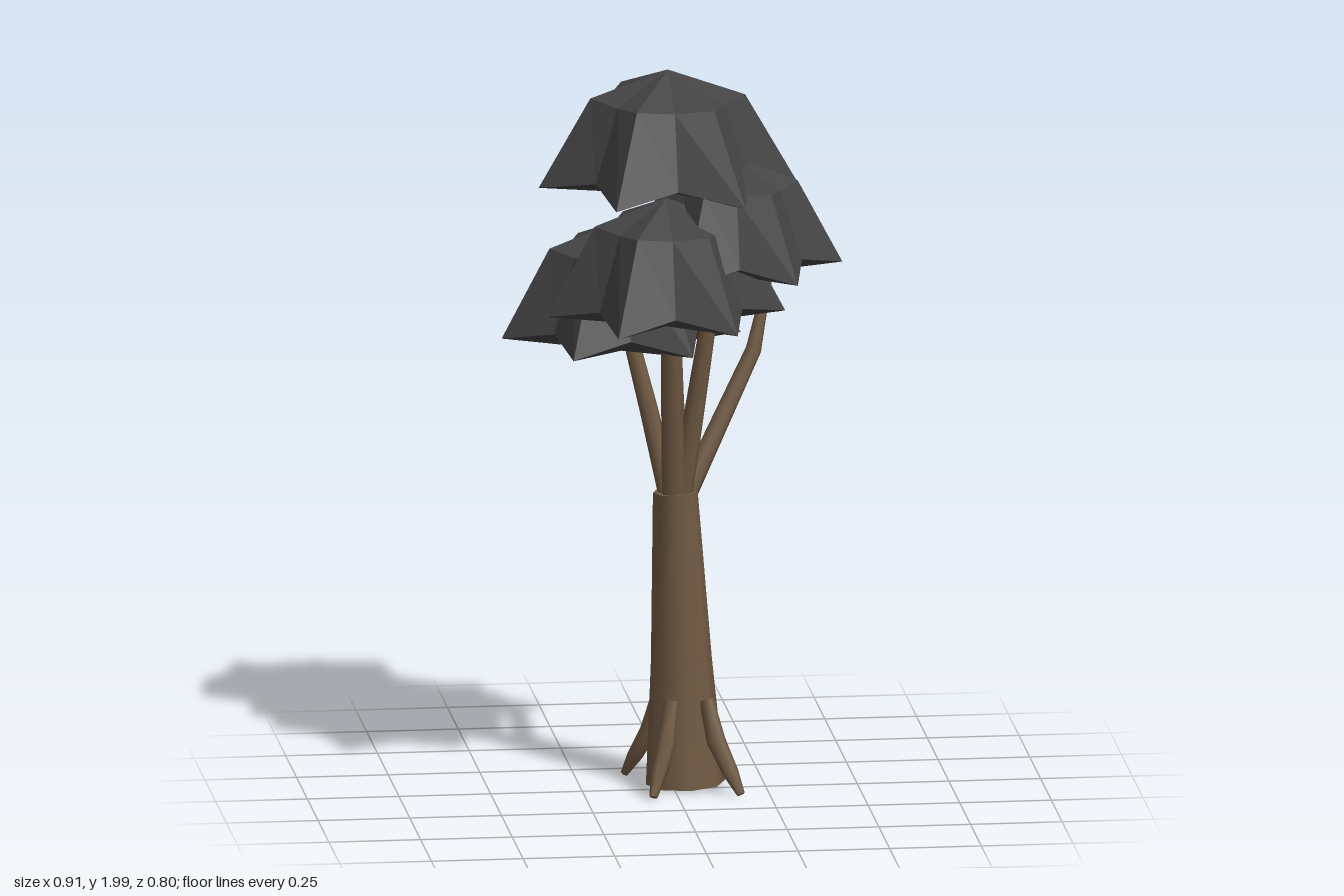
import * as THREE from 'three';

const bark = new THREE.MeshStandardMaterial({ color: 0x705a43 });
bark.name = 'bark brown';
const leaf = new THREE.MeshStandardMaterial({ color: 0x444444 });
leaf.name = 'leaf charcoal';

// Six-pointed star dome: apex, shoulder ring, drooping rim, shallow pointed underside
function clumpGeometry(r, top, rim, bottom) {
  const ring = (radius, y, valley, dy) => Array.from({ length: 12 }, (_, i) => {
    const a = (i * Math.PI) / 6;
    const k = i % 2 ? radius * valley : radius;
    return [k * Math.cos(a), y + (i % 2 ? dy : 0), k * Math.sin(a)];
  });
  const shoulder = ring(r * 0.6, top - 0.075, 0.8, -0.01);
  const edge = ring(r, rim, 0.69, 0.035);
  const apex = [0, top, 0];
  const base = [0, bottom, 0];
  const pos = [];
  for (let i = 0; i < 12; i++) {
    const j = (i + 1) % 12;
    pos.push(...apex, ...shoulder[j], ...shoulder[i]);
    pos.push(...shoulder[i], ...shoulder[j], ...edge[i]);
    pos.push(...shoulder[j], ...edge[j], ...edge[i]);
    pos.push(...base, ...edge[i], ...edge[j]);
  }
  const g = new THREE.BufferGeometry();
  g.setAttribute('position', new THREE.Float32BufferAttribute(pos, 3));
  g.computeVertexNormals();
  return g;
}

// Tapered limb through a list of [x, y, z, radius] stations, closed at both ends
function limbGeometry(stations, sides) {
  const pts = stations.map(s => new THREE.Vector3(s[0], s[1], s[2]));
  const pos = [], index = [];
  const up = new THREE.Vector3(0, 1, 0);
  stations.forEach((s, n) => {
    const dir = pts[Math.min(n + 1, pts.length - 1)].clone().sub(pts[Math.max(n - 1, 0)]).normalize();
    const q = new THREE.Quaternion().setFromUnitVectors(up, dir.y < 0 ? dir.negate() : dir);
    for (let i = 0; i < sides; i++) {
      const a = (i / sides) * Math.PI * 2;
      const v = new THREE.Vector3(Math.cos(a) * s[3], 0, Math.sin(a) * s[3]).applyQuaternion(q).add(pts[n]);
      pos.push(v.x, v.y, v.z);
    }
  });
  for (let n = 0; n < stations.length - 1; n++) {
    for (let i = 0; i < sides; i++) {
      const a = n * sides + i, b = n * sides + (i + 1) % sides;
      index.push(a, a + sides, b, b, a + sides, b + sides);
    }
  }
  // separate cap vertices keep the ends crisp
  [0, stations.length - 1].forEach((n, end) => {
    const start = pos.length / 3;
    pos.push(...pos.slice(n * sides * 3, (n + 1) * sides * 3));
    for (let i = 1; i < sides - 1; i++) {
      if (end) index.push(start, start + i + 1, start + i);
      else index.push(start, start + i, start + i + 1);
    }
  });
  const g = new THREE.BufferGeometry();
  g.setAttribute('position', new THREE.Float32BufferAttribute(pos, 3));
  g.setIndex(index);
  g.computeVertexNormals();
  return g;
}

export function createModel() {
  const tree = new THREE.Group();
  tree.name = 'tree';
  const add = (name, geometry, material) => {
    const m = new THREE.Mesh(geometry, material);
    m.name = name;
    tree.add(m);
    return m;
  };

  // Trunk, leaning slightly
  add('trunk', limbGeometry([
    [0.037, 0.015, -0.048, 0.108], [0.026, 0.36, -0.05, 0.083], [0.01, 0.825, -0.055, 0.061],
  ], 8), bark);

  // Four splayed roots, listed from tip up to the trunk
  [[0.17, 0.11], [-0.07, 0.115], [-0.115, -0.17], [0.17, -0.18]].forEach(([x, z], i) => {
    const at = (t, y, r) => [0.03 + (x - 0.03) * t, y, -0.04 + (z + 0.04) * t, r];
    add('root' + (i + 1), limbGeometry([
      at(1, 0.015, 0.011), at(0.82, 0.07, 0.022), at(0.57, 0.15, 0.026), at(0.4, 0.26, 0.02),
    ], 6), bark);
  });

  // Branches fanning from the trunk top
  const branches = {
    leftOuterBranch: [[0.025, 0.78, -0.06, 0.03], [0.235, 1.19, -0.155, 0.022], [0.28, 1.38, -0.195, 0.011]],
    leftInnerBranch: [[0.02, 0.78, -0.05, 0.032], [0.07, 1.15, -0.005, 0.026], [0.12, 1.5, 0.025, 0.018]],
    frontBranch: [[0.005, 0.78, -0.045, 0.034], [-0.01, 1.1, 0.03, 0.03], [-0.025, 1.4, 0.09, 0.022]],
    rightBranch: [[0, 0.78, -0.06, 0.03], [-0.06, 1.05, -0.085, 0.026], [-0.12, 1.3, -0.115, 0.021]],
    middleBranch: [[0.015, 0.78, -0.06, 0.034], [0.005, 1.1, -0.065, 0.029], [-0.005, 1.68, -0.065, 0.018]],
  };
  for (const [name, stations] of Object.entries(branches)) add(name, limbGeometry(stations, 7), bark);

  // Foliage clumps: x, z, radius, top, rim, underside point
  const clumps = {
    topFoliage: [-0.01, -0.06, 0.352, 2.0, 1.68, 1.652],
    leftFoliage: [0.15, 0.038, 0.305, 1.78, 1.475, 1.445],
    frontFoliage: [-0.035, 0.115, 0.325, 1.685, 1.362, 1.327],
    rightFoliage: [-0.13, -0.12, 0.326, 1.57, 1.248, 1.205],
  };
  for (const [name, [x, z, ...shape]] of Object.entries(clumps)) {
    add(name, clumpGeometry(...shape), leaf).position.set(x, 0, z);
  }
  return tree;
}
